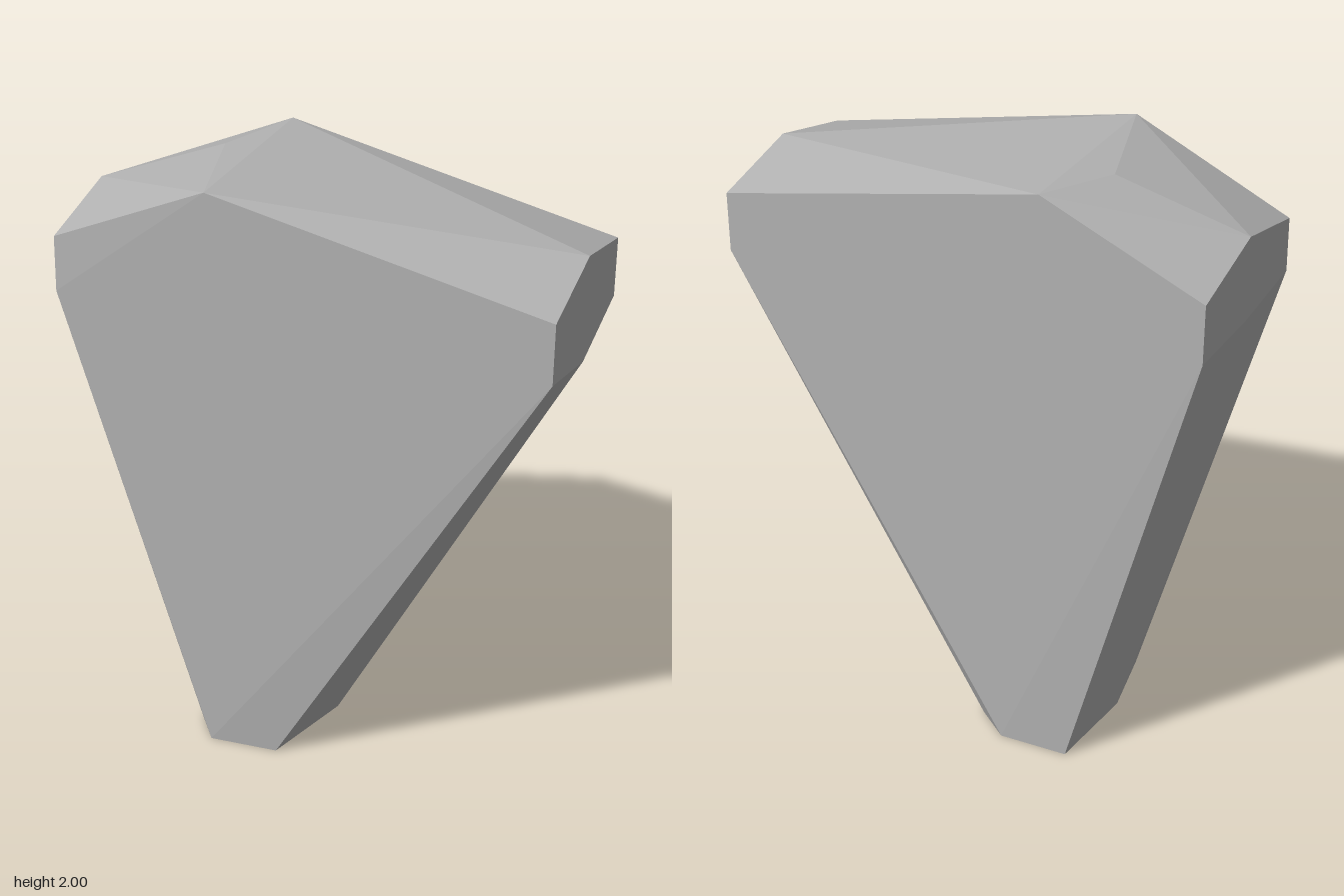
import * as THREE from 'three';
import { ConvexGeometry } from 'three/addons/geometries/ConvexGeometry.js';

export function createModel() {
  const group = new THREE.Group();
  group.name = 'rock';

  const stone = new THREE.MeshStandardMaterial({ color: 0xb2b2b2 });
  stone.name = 'stone grey';
  stone.flatShading = true;

  // Top ridge, with a small chip beside it
  const ridge = [[-0.28, 2, 0.33], [-0.28, 2, -0.333], [-0.4, 1.987, -0.08]];

  // Six-sided upright facet at the model's left
  const leftEnd = [
    [0.8, 1.845, 0], [0.8, 1.77, 0.323], [0.8, 1.575, 0.323],
    [0.8, 1.5, 0], [0.8, 1.575, -0.325], [0.8, 1.77, -0.325],
  ];

  // Six-sided upright facet at the model's right
  const rightEnd = [
    [-0.8, 1.845, -0.005], [-0.8, 1.77, 0.316], [-0.8, 1.59, 0.325],
    [-0.8, 1.57, 0], [-0.8, 1.58, -0.325], [-0.8, 1.77, -0.325],
  ];

  // Narrow eight-sided foot
  const foot = [
    [-0.43, 0, 0], [-0.39, 0, 0.24], [-0.32, 0, 0.33], [-0.09, 0, 0.31],
    [0.01, 0, 0], [-0.05, 0, -0.25], [-0.16, 0, -0.333], [-0.39, 0, -0.32],
  ];

  // The faceted stone is the hull around these cuts
  const corners = [...ridge, ...leftEnd, ...rightEnd, ...foot]
    .map((p) => new THREE.Vector3(...p));
  const body = new THREE.Mesh(new ConvexGeometry(corners), stone);
  body.name = 'rockBody';
  group.add(body);
  return group;
}
